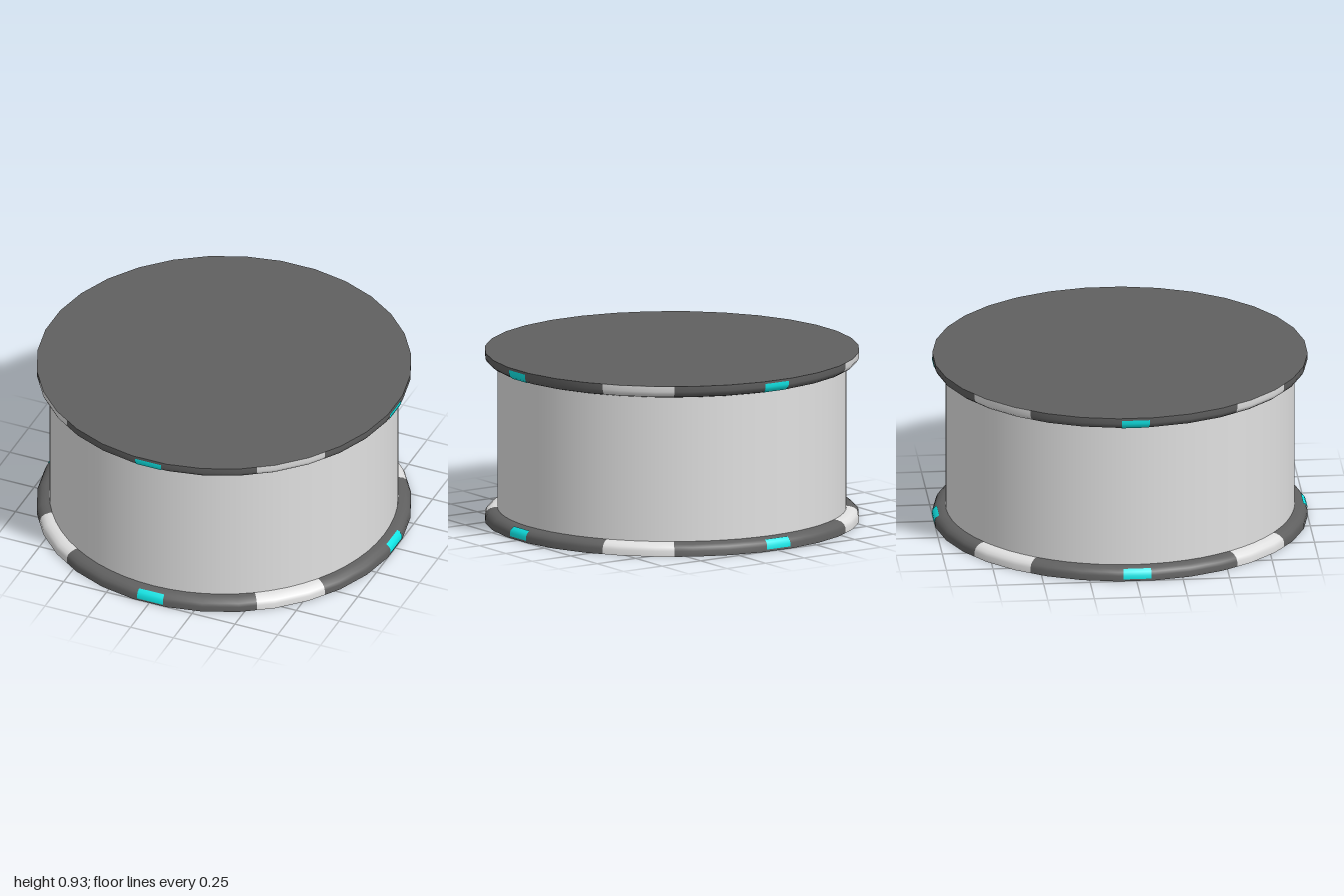
import * as THREE from 'three';

const HEIGHT = 0.93;
const STEP = Math.PI / 32; // half of one rim facet

const shellGrey = new THREE.MeshStandardMaterial({ name: 'light grey', color: 0xe0e0e0 });
const rimGrey = new THREE.MeshStandardMaterial({ name: 'dark grey', color: 0x606060 });
const lampCyan = new THREE.MeshStandardMaterial({ name: 'cyan', color: 0x10eaea });

// Rounded cross-section of a rim, flat side at y = 0
const rimProfile = [[1, 0], [1, 0.03], [0.992, 0.048], [0.975, 0.061], [0.953, 0.068], [0.925, 0.07]];
const lampProfile = [[1.004, 0.012], [1.004, 0.031], [0.996, 0.05], [0.979, 0.063]];

// Part of a ring, pushed out to a 32-sided outline with facets centred on the axes
function ringSector(name, profile, start, length, segments, material) {
  const points = profile.map(([r, y]) => new THREE.Vector2(r, y));
  const geometry = new THREE.LatheGeometry(points, segments, start, length);
  const p = geometry.attributes.position;
  for (let i = 0; i < p.count; i++) {
    const angle = Math.atan2(p.getX(i), p.getZ(i));
    const local = angle - Math.round(angle / (2 * STEP)) * 2 * STEP;
    const k = 1 / Math.cos(local);
    p.setXYZ(i, p.getX(i) * k, p.getY(i), p.getZ(i) * k);
  }
  const mesh = new THREE.Mesh(geometry, material);
  mesh.name = name;
  return mesh;
}

function createRim(name) {
  const rim = new THREE.Group();
  rim.name = name;
  for (let i = 0; i < 4; i++) {
    const a = i * Math.PI / 2;
    rim.add(
      ringSector('darkRimSection', rimProfile, a - 6 * STEP, 12 * STEP, 12, rimGrey),
      ringSector('lightRimSection', rimProfile, a + 6 * STEP, 4 * STEP, 4, shellGrey),
      ringSector('rimLamp', lampProfile, a - 0.07, 0.15, 2, lampCyan),
    );
  }
  // Flat end plate, facing outward
  const plate = new THREE.Mesh(new THREE.CircleGeometry(1 / Math.cos(STEP), 32, STEP), rimGrey);
  plate.name = 'endPlate';
  plate.rotation.x = Math.PI / 2;
  rim.add(plate);
  return rim;
}

export function createModel() {
  const model = new THREE.Group();
  model.name = 'drum';

  // Round shell between the two rims
  const shell = new THREE.Mesh(
    new THREE.CylinderGeometry(0.935, 0.935, HEIGHT - 0.12, 64, 1, true), shellGrey);
  shell.name = 'shell';
  shell.position.y = HEIGHT / 2;

  // The upper rim is the lower one turned over
  const lowerRim = createRim('lowerRim');
  const upperRim = createRim('upperRim');
  upperRim.rotation.x = Math.PI;
  upperRim.position.y = HEIGHT;

  model.add(shell, lowerRim, upperRim);
  return model;
}
